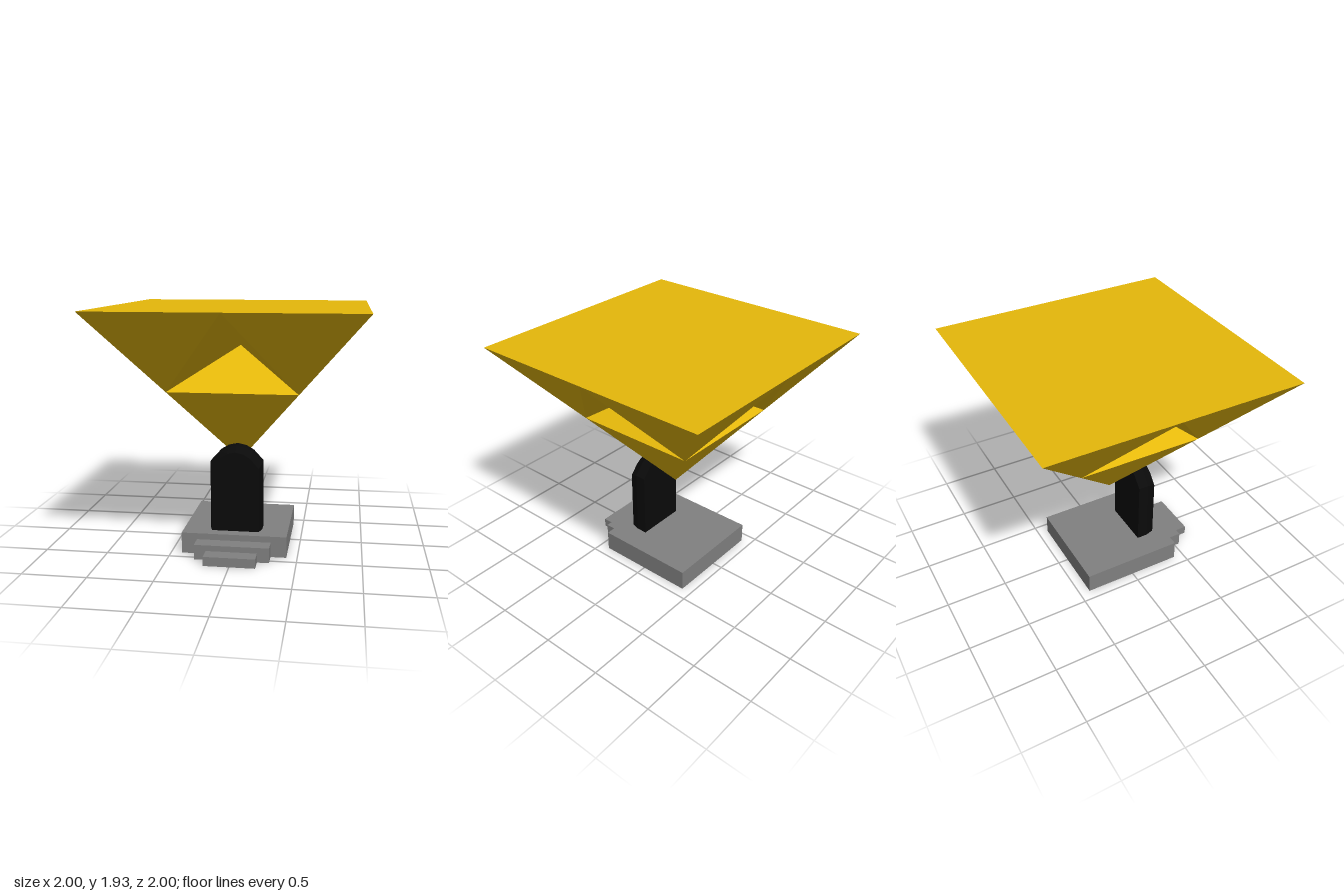
import * as THREE from 'three';

const material = (color) => new THREE.MeshStandardMaterial({ color, flatShading: true });

function addMesh(parent, name, geometry, mat) {
  const mesh = new THREE.Mesh(geometry, mat);
  mesh.name = name;
  parent.add(mesh);
  return mesh;
}

// Inverted pyramid with a three-sided notch in each side; the notches meet at the core
function notchedPyramid(tipY, topY) {
  const midY = (tipY + topY) / 2;
  const tip = [0, tipY, 0];
  const core = [0, (midY + topY) / 2, 0];
  const topMid = [0, topY, 1];
  const cornerL = [1, topY, 1], cornerR = [-1, topY, 1];
  const midL = [0.5, midY, 0.5], midR = [-0.5, midY, 0.5];
  const side = [
    midL, cornerL, topMid, // upper corners
    midR, topMid, cornerR,
    tip, midL, midR, // lower point
    core, midL, topMid, // notch walls
    core, topMid, midR,
    core, midR, midL, // notch floor
    [0, topY, 0], cornerR, cornerL, // quarter of the flat top
  ];
  const positions = [];
  for (let k = 0; k < 4; k++) {
    for (const [px, y, pz] of side) {
      let x = px, z = pz;
      for (let i = 0; i < k; i++) [x, z] = [z, -x];
      positions.push(x, y, z);
    }
  }
  const geometry = new THREE.BufferGeometry();
  geometry.setAttribute('position', new THREE.Float32BufferAttribute(positions, 3));
  geometry.computeVertexNormals();
  return geometry;
}

// Arched slab whose front edge tapers to a slightly smaller arch
function archedSlab(bottom, backZ) {
  const half = [[0.207, bottom], [0.207, 0.715], [0.13, 0.80], [0.07, 0.835], [0, 0.85]];
  const mirrored = half.slice(0, -1).reverse().map(([x, y]) => [-x, y]);
  const shape = new THREE.Shape([...half, ...mirrored].map(([x, y]) => new THREE.Vector2(x, y)));
  const geometry = new THREE.ExtrudeGeometry(shape, { depth: 2, steps: 2, bevelEnabled: false });
  const layers = [backZ, 0.255, 0.325];
  const p = geometry.attributes.position;
  for (let i = 0; i < p.count; i++) {
    const layer = Math.round(p.getZ(i));
    const front = layer === 2;
    const x = p.getX(i) * (front ? 0.9 : 1);
    const y = bottom + (p.getY(i) - bottom) * (front ? 0.94 : 1);
    p.setXYZ(i, x, y, layers[layer]);
  }
  geometry.computeVertexNormals();
  return geometry;
}

export function createModel() {
  const model = new THREE.Group();
  model.name = 'pavilion';
  const gold = material(0xe5b80b);
  const black = material(0x0a0a0a);
  const stone = material(0x808080);

  // Plinth and two front steps: name, width, height, back z, front z
  const blocks = [
    ['plinth', 0.83, 0.167, -0.415, 0.415],
    ['upperStep', 0.585, 0.118, 0.415, 0.543],
    ['lowerStep', 0.4, 0.073, 0.543, 0.666],
  ];
  for (const [name, w, h, z0, z1] of blocks) {
    const block = addMesh(model, name, new THREE.BoxGeometry(w, h, z1 - z0), stone);
    block.position.set(0, h / 2, (z0 + z1) / 2);
  }

  addMesh(model, 'archedDoor', archedSlab(0.167, 0.167), black);
  addMesh(model, 'invertedPyramid', notchedPyramid(0.677, 1.926), gold);
  return model;
}
